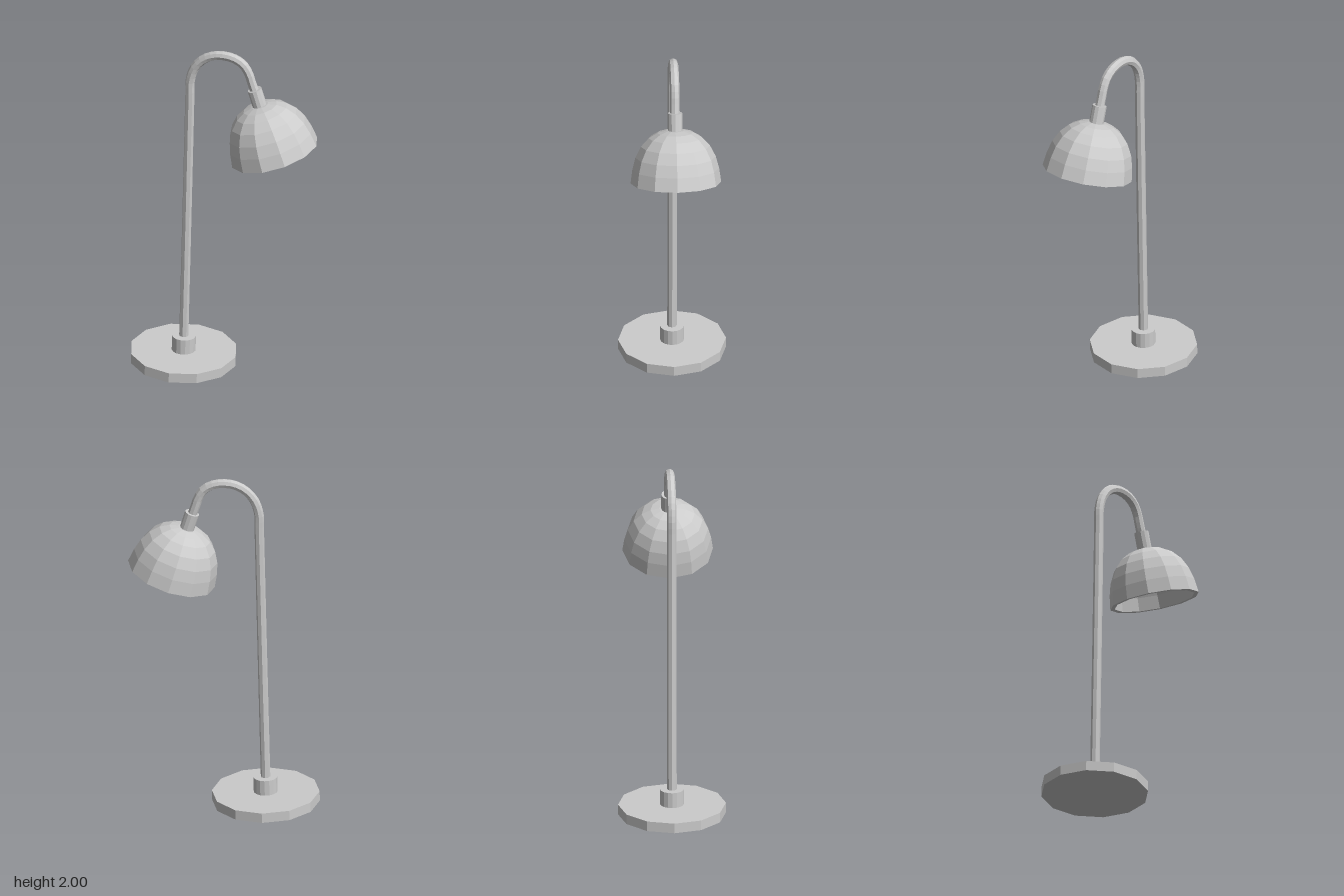
import * as THREE from 'three';

const LEAN = -0.024; // slight lean of base and pole
const SHADE_TILT = 0.297;

export function createModel() {
  const lamp = new THREE.Group();
  lamp.name = 'deskLamp';
  const material = new THREE.MeshStandardMaterial({ color: 0xcccccc, flatShading: true });

  const add = (parent, name, geometry, y = 0) => {
    const mesh = new THREE.Mesh(geometry, material);
    mesh.name = name;
    mesh.position.y = y;
    parent.add(mesh);
    return mesh;
  };

  // Round foot with the collar that holds the pole
  const foot = new THREE.Group();
  foot.name = 'foot';
  foot.position.set(-0.24, 0.008, 0);
  foot.rotation.z = LEAN;
  add(foot, 'base', new THREE.CylinderGeometry(0.305, 0.305, 0.058, 12), 0.029);
  add(foot, 'collar', new THREE.CylinderGeometry(0.068, 0.068, 0.1, 16), 0.098);
  lamp.add(foot);

  // Pole and gooseneck in one bent tube
  const path = [
    [-0.24, 0.06], [-0.22, 0.9], [-0.202, 1.7], [-0.2, 1.79], [-0.175, 1.872],
    [-0.122, 1.935], [-0.06, 1.967], [0, 1.974], [0.06, 1.964],
    [0.112, 1.932], [0.143, 1.88], [0.162, 1.82], [0.19, 1.74],
  ].map(([x, y]) => new THREE.Vector3(x, y, 0));
  add(lamp, 'pole', new THREE.TubeGeometry(new THREE.CatmullRomCurve3(path), 70, 0.027, 8, false));

  // Tilted head, its origin at the centre of the shade rim
  const head = new THREE.Group();
  head.name = 'head';
  head.position.set(0.295, 1.4, 0);
  head.rotation.z = SHADE_TILT;
  lamp.add(head);

  // Shade: inner wall down to the rim, then outer wall up to the crown
  const outer = [
    [0.256, 0], [0.245, 0.08], [0.227, 0.148], [0.195, 0.211],
    [0.15, 0.26], [0.1, 0.289], [0.05, 0.302], [0, 0.305],
  ];
  const inner = outer.map(([r, y]) => [r * 0.9, y * 0.93]).reverse();
  const profile = [...inner, ...outer].map(([r, y]) => new THREE.Vector2(r, y));
  add(head, 'shade', new THREE.LatheGeometry(profile, 12));

  // Socket on the crown and bulb below it
  add(head, 'socket', new THREE.CylinderGeometry(0.041, 0.041, 0.125, 12), 0.34);
  add(head, 'bulbNeck', new THREE.CylinderGeometry(0.035, 0.035, 0.1, 12), 0.245);
  add(head, 'bulb', new THREE.SphereGeometry(0.07, 12, 8), 0.16);

  return lamp;
}
